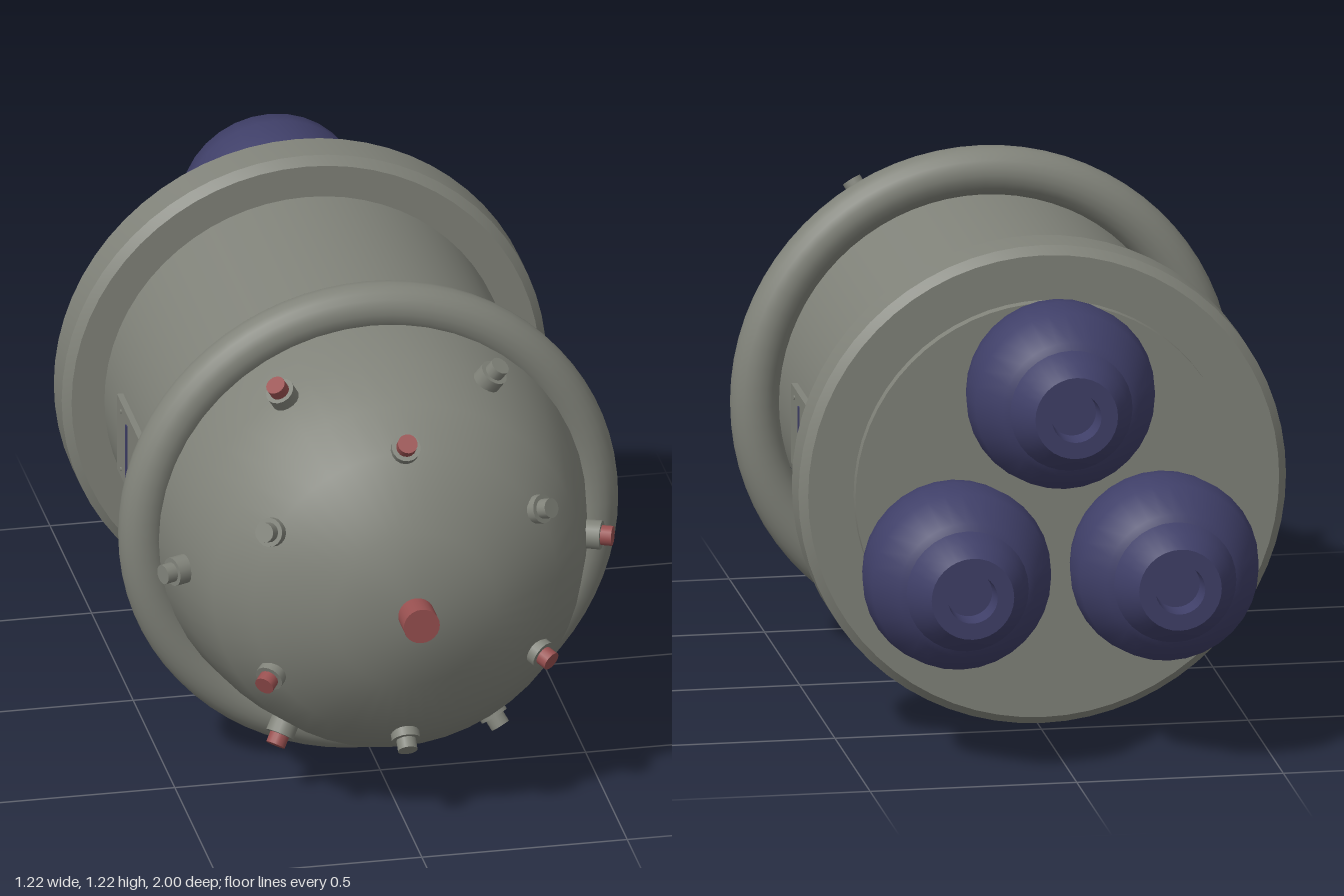
import * as THREE from 'three';
import { toCreasedNormals } from 'three/addons/utils/BufferGeometryUtils.js';

const grey = new THREE.MeshStandardMaterial({ color: 0x81837a });
grey.name = 'hull grey';
const blue = new THREE.MeshStandardMaterial({ color: 0x3f3f68 });
blue.name = 'engine blue';
const red = new THREE.MeshStandardMaterial({ color: 0x985050 });
red.name = 'signal red';

function add(parent, name, geometry, material, x = 0, y = 0, z = 0) {
  const mesh = new THREE.Mesh(geometry, material);
  mesh.name = name;
  mesh.position.set(x, y, z);
  parent.add(mesh);
  return mesh;
}

// Profile of [radius, height] pairs, listed from the bottom up
function lathe(profile, sides, crease = 0.6) {
  const points = profile.map(([r, h]) => new THREE.Vector2(r, h));
  return toCreasedNormals(new THREE.LatheGeometry(points, sides), crease);
}

// Stud standing on the dome: a wide base and a narrower tip
function addStud(parent, angle, radius, height, tilt, tipMaterial) {
  const stud = new THREE.Group();
  stud.name = 'domeStud';
  const out = new THREE.Vector3(Math.cos(angle), 0, -Math.sin(angle));
  stud.position.copy(out).multiplyScalar(radius).setY(height);
  const direction = out.clone().multiplyScalar(Math.cos(tilt)).setY(Math.sin(tilt));
  stud.quaternion.setFromUnitVectors(new THREE.Vector3(0, 1, 0), direction);
  add(stud, 'studBase', new THREE.CylinderGeometry(0.035, 0.035, 0.06, 16), grey, 0, 0, 0);
  add(stud, 'studTip', new THREE.CylinderGeometry(0.024, 0.024, 0.03, 16), tipMaterial, 0, 0.042, 0);
  parent.add(stud);
}

export function createModel() {
  const model = new THREE.Group();
  model.name = 'rocketPod';

  // Everything is built along y, then laid down so that +y becomes the front
  const pod = new THREE.Group();
  pod.name = 'pod';
  pod.rotation.x = Math.PI / 2;
  pod.position.y = 0.61;
  model.add(pod);

  // Hull
  add(pod, 'body', new THREE.CylinderGeometry(0.49, 0.49, 0.82, 64, 1, true), grey, 0, -0.05, 0);
  add(pod, 'dome', lathe([
    [0.52, 0.34], [0.52, 0.41], [0.495, 0.55], [0.45, 0.71],
    [0.37, 0.805], [0.2, 0.905], [0, 0.942],
  ], 48, 0.9), grey);
  const collar = add(pod, 'frontCollar', new THREE.TorusGeometry(0.549, 0.059, 20, 72), grey, 0, 0.355, 0);
  collar.rotation.x = Math.PI / 2;
  add(pod, 'rearCollar', lathe([
    [0.4, -0.53], [0.57, -0.53], [0.59, -0.51], [0.59, -0.415], [0.57, -0.395], [0.48, -0.395],
  ], 64), grey);
  add(pod, 'rearPlate', new THREE.CylinderGeometry(0.46, 0.46, 0.06, 64), grey, 0, -0.528, 0);

  // Nose and two staggered rings of studs, alternately red-tipped
  add(pod, 'nose', new THREE.CylinderGeometry(0.044, 0.044, 0.08, 24), red, 0, 0.96, 0);
  for (let i = 0; i < 6; i++) {
    const step = (i * Math.PI) / 3;
    addStud(pod, step, 0.495, 0.57, 0.4, i % 2 ? grey : red);
    addStud(pod, step + Math.PI / 6, 0.365, 0.79, 0.82, i % 2 ? red : grey);
  }

  // Three engines with recessed nozzles
  const engineShape = lathe([
    [0, -0.945], [0.056, -0.945], [0.06, -1], [0.1, -1], [0.128, -0.965], [0.148, -0.925],
    [0.165, -0.915], [0.217, -0.835], [0.228, -0.77], [0.217, -0.7], [0.168, -0.55], [0, -0.55],
  ], 32, 0.5);
  for (let i = 0; i < 3; i++) {
    const a = Math.PI / 2 + (i * Math.PI * 2) / 3;
    add(pod, 'engine', engineShape, blue, Math.cos(a) * 0.29, 0, -Math.sin(a) * 0.29);
  }

  // Access panels with slots and rivets on both sides
  for (const side of [-1, 1]) {
    const panel = new THREE.Group();
    panel.name = side > 0 ? 'leftPanel' : 'rightPanel';
    add(panel, 'panelPlate', new THREE.BoxGeometry(0.02, 0.37, 0.196), grey, side * 0.485, -0.035, 0);
    for (const y of [0.035, -0.1]) {
      add(panel, 'panelSlot', new THREE.BoxGeometry(0.006, 0.012, 0.14), blue, side * 0.495, y, 0);
    }
    for (const y of [0.1, -0.168]) {
      for (const z of [-0.076, 0.076]) {
        const rivet = add(panel, 'panelRivet', new THREE.CylinderGeometry(0.005, 0.005, 0.006, 8), grey, side * 0.495, y, z);
        rivet.rotation.z = Math.PI / 2;
      }
    }
    pod.add(panel);
  }
  return model;
}
